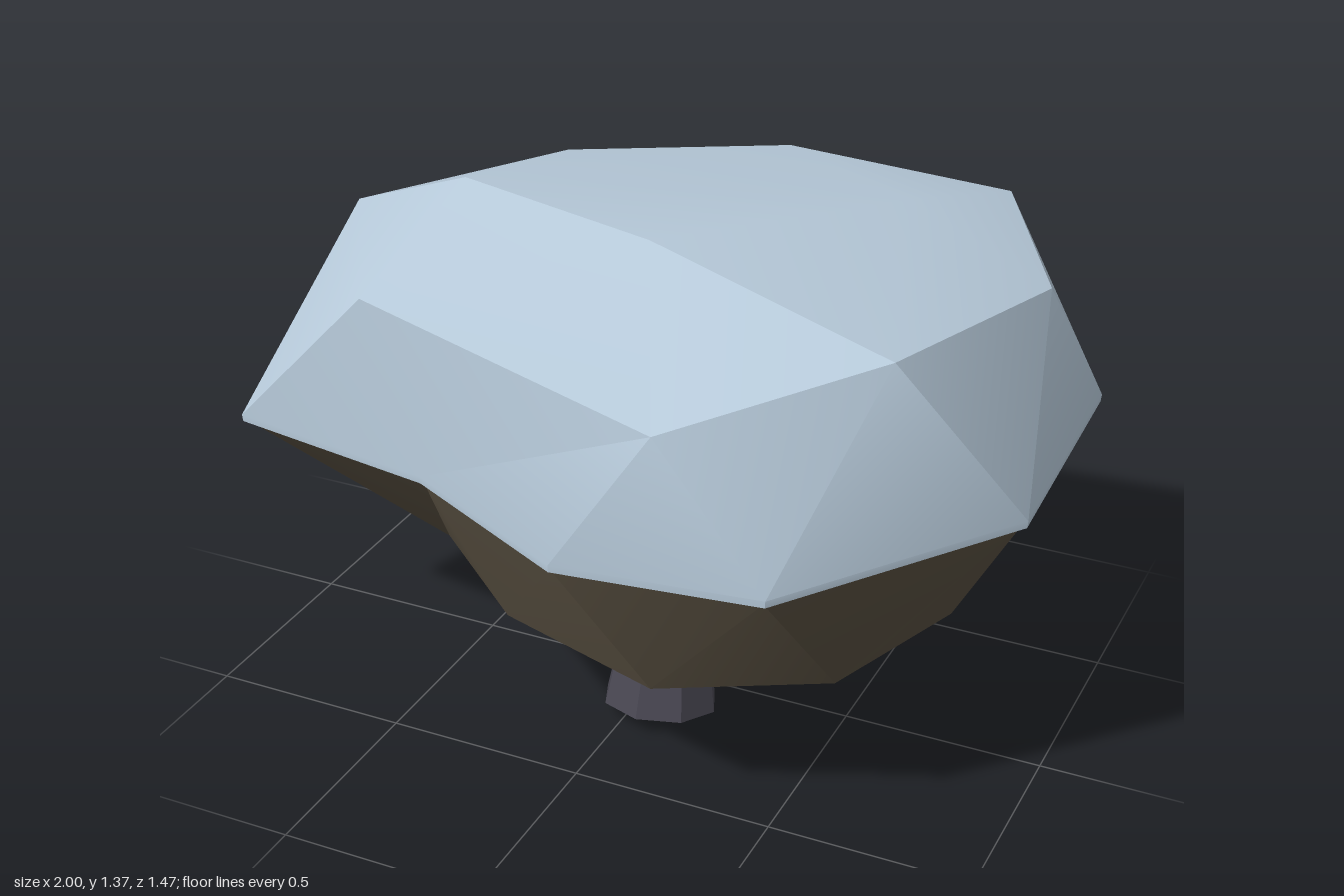
import * as THREE from 'three';
import { toCreasedNormals } from 'three/addons/utils/BufferGeometryUtils.js';

const mat = (name, color) => new THREE.MeshStandardMaterial({ name, color });

// Skin matching rings together and cap the last one; "down" flips the facing.
// Repeated points in a ring merge facets into triangles.
function loft(rings, down) {
  const out = [];
  const tri = (a, b, c) => {
    if (a === b || b === c || a === c) return;
    out.push(...a, ...(down ? c : b), ...(down ? b : c));
  };
  for (let k = 0; k + 1 < rings.length; k++) {
    const a = rings[k], b = rings[k + 1], n = a.length;
    for (let i = 0; i < n; i++) {
      const j = (i + 1) % n;
      tri(a[i], a[j], b[j]);
      tri(a[i], b[j], b[i]);
    }
  }
  const cap = rings[rings.length - 1];
  for (let i = 1; i + 1 < cap.length; i++) tri(cap[0], cap[i], cap[i + 1]);
  const g = new THREE.BufferGeometry();
  g.setAttribute('position', new THREE.Float32BufferAttribute(out, 3));
  return toCreasedNormals(g, 0.5);
}

export function createModel() {
  const group = new THREE.Group();
  const add = (name, geometry, material) => {
    const mesh = new THREE.Mesh(geometry, material);
    mesh.name = name;
    group.add(mesh);
    return mesh;
  };

  // Rim, from the left-hand tip round the front, the far side and the back
  const rim = [
    [-1, 0.675, 0.335], [-0.41, 0.705, 0.475], [0.06, 0.72, 0.73], [0.57, 0.755, 0.72], [1, 0.825, 0.28],
    [0.98, 0.835, -0.36], [0.47, 0.805, -0.74], [-0.03, 0.775, -0.66], [-0.41, 0.74, -0.55], [-0.86, 0.7, -0.285],
  ];
  const offset = (s, dy) => rim.map(([x, y, z]) => [x * s, y + dy, z * s]);
  const lip = offset(0.998, -0.018);
  const inner = offset(0.985, -0.016);

  // Upper shell
  const shoulderTip = [-0.8, 1.18, 0.05], ridgeA = [-0.4, 1.365, 0.22], ridgeB = [0.15, 1.375, 0.395];
  const frontTip = [-0.6, 1.09, 0.39], front = [0.3, 1.08, 0.71], corner = [0.74, 1.23, 0.455];
  const side = [0.9, 1.19, -0.13], backCorner = [0.67, 1.235, -0.54];
  const back = [0.13, 1.295, -0.455], backTip = [-0.38, 1.27, -0.255], crest = [0.55, 1.34, -0.14];
  const shoulder = [shoulderTip, frontTip, front, front, corner, side, backCorner, back, backTip, backTip];
  const top = [ridgeA, ridgeA, ridgeB, ridgeB, ridgeB, crest, crest, crest, ridgeA, ridgeA];
  add('upperShell', loft([inner, lip, rim, shoulder, top], false), mat('paleBlueGrey', 0xb6c9d9));

  // Underside
  const belly = [
    [-0.79, 0.34, 0], [-0.5, 0.38, 0.2], [-0.15, 0.43, 0.54], [0.25, 0.38, 0.61], [0.64, 0.42, 0.47],
    [0.76, 0.38, 0.02], [0.64, 0.47, -0.52], [0.1, 0.37, -0.43], [-0.3, 0.36, -0.36], [-0.62, 0.39, -0.2],
  ];
  const b1 = [-0.33, 0.235, -0.04], b2 = [0, 0.26, 0.32], b3 = [0.38, 0.27, 0.2], b4 = [0.33, 0.305, -0.28];
  const base = [b1, b1, b2, b2, b3, b3, b4, b4, b1, b1];
  add('underside', loft([inner, belly, base], true), mat('darkBrown', 0x595041));

  // Leaning tapered stalk, its foot centred on the local origin
  const stalkGeometry = new THREE.CylinderGeometry(0.09, 0.146, 0.34, 8).translate(0, 0.17, 0).toNonIndexed();
  stalkGeometry.computeVertexNormals();
  const stalk = add('stalk', stalkGeometry, mat('darkSlate', 0x484651));
  stalk.position.set(0.063, 0.026, 0.157);
  stalk.rotation.x = -0.175;

  return group;
}
